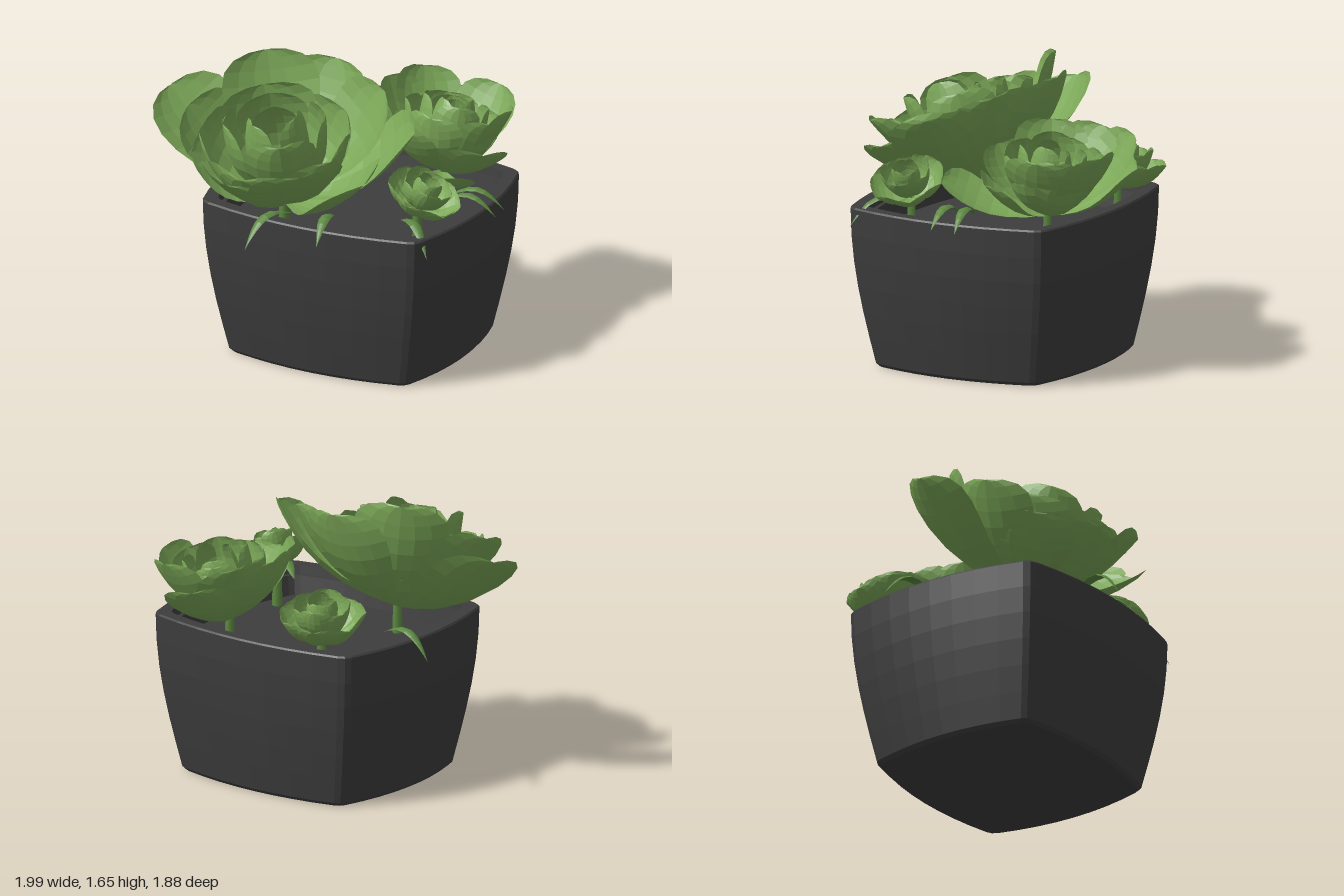
import * as THREE from 'three';
import { mergeGeometries } from 'three/addons/utils/BufferGeometryUtils.js';

function colour(name, hex, side = THREE.FrontSide) {
  const m = new THREE.MeshStandardMaterial({ color: hex, side });
  m.name = name;
  return m;
}
const potGrey = colour('potGrey', 0x3d3d3e);
const leafGreen = colour('leafGreen', 0x7ca858, THREE.DoubleSide);
const stemGreen = colour('stemGreen', 0x5c8840, THREE.DoubleSide);

const V = (x, y, z) => new THREE.Vector3(x, y, z);
const POT = V(0.135, 0, 0.015);

// Unshared vertices give the faceted look
function faceted(positions, index) {
  const indexed = new THREE.BufferGeometry();
  indexed.setAttribute('position', new THREE.Float32BufferAttribute(positions, 3));
  indexed.setIndex(index);
  const g = indexed.toNonIndexed();
  g.computeVertexNormals();
  return g;
}

function mesh(name, geometry, material) {
  const m = new THREE.Mesh(geometry, material);
  m.name = name;
  return m;
}

// Square pot with bowed sides and soft corners, as [height, scale] levels of one cross-section
function potGeometry() {
  const levels = [[0, 0.81]];
  for (let i = 0; i <= 6; i++) {
    const h = i / 6;
    levels.push([0.02 + 0.9 * h, 0.835 + 0.165 * Math.sin((h * Math.PI) / 2)]);
  }
  // Rim, inner step and floor
  levels.push([0.93, 0.99], [0.93, 0.9], [0.88, 0.89], [0.88, 0.86], [0.77, 0.83]);

  const loop = [];
  for (let side = 0; side < 4; side++) {
    const section = [];
    for (let i = 0; i <= 8; i++) {
      const s = (i / 4 - 1) * 0.92;
      section.push([1 - 0.135 * s * s, 0.88 * s]);
    }
    section.push([0.858, 0.858]);
    for (let [x, z] of section) {
      for (let k = 0; k < side; k++) [x, z] = [-z, x];
      loop.push([x, z]);
    }
  }
  const n = loop.length, pos = [], idx = [];
  for (const [y, k] of levels) {
    for (const [x, z] of loop) pos.push(POT.x + 0.785 * k * x, y, POT.z + 0.715 * k * z);
  }
  pos.push(POT.x, 0, POT.z, POT.x, 0.77, POT.z);
  const bottom = levels.length * n, last = bottom - n;
  for (let j = 0; j < n; j++) {
    const j2 = (j + 1) % n;
    for (let i = 0; i < last; i += n) {
      const a = i + j, b = i + j2;
      idx.push(a, a + n, b, b, a + n, b + n);
    }
    idx.push(bottom, j, j2, bottom + 1, last + j2, last + j);
  }
  return faceted(pos, idx);
}

// Leaf outlines along the length: broad rounded petal and slim pointed blade
const rounded = (t) => (Math.pow(t, 0.8) * Math.sqrt(Math.max(0, 1 - t ** 5))) / 0.7;
const pointed = (t) => Math.sin(Math.PI * Math.pow(t, 0.85));

// Leaf from base to tip, bellied away from the axis, with its edges curled towards it
function leaf(base, tip, width, axis, belly, curl, outline) {
  const d = tip.clone().sub(base), len = d.length();
  const side = d.clone().cross(axis).normalize();
  const up = side.clone().cross(d).normalize();
  const rows = 9, cols = 6, pos = [], idx = [];
  for (let i = 0; i <= rows; i++) {
    const t = Math.sin((i / rows) * Math.PI / 2);
    const half = (width / 2) * Math.max(outline(t), 0.06);
    for (let j = 0; j <= cols; j++) {
      const u = (j / cols) * 2 - 1;
      const p = base.clone().addScaledVector(d, t).addScaledVector(side, half * u)
        .addScaledVector(up, curl * half * u * u - belly * len * Math.sin(Math.PI * t));
      pos.push(p.x, p.y, p.z);
    }
  }
  for (let i = 0; i < rows; i++) {
    for (let j = 0; j < cols; j++) {
      const a = i * (cols + 1) + j, b = a + cols + 1;
      idx.push(a, a + 1, b, b, a + 1, b + 1);
    }
  }
  return faceted(pos, idx);
}

// Three rings of petals that grow smaller and steeper towards the heart
function innerPetals(base, axis, { count, radius, height, droop, width }) {
  const e1 = V(1, 0, 0).cross(axis).normalize(), e2 = axis.clone().cross(e1);
  const petals = [];
  for (let k = 0; k < 3; k++) {
    const n = count - k, r = radius * (1 - 0.34 * k);
    const rise = height * (1 - droop * (1 - k / 2) ** 2);
    for (let i = 0; i < n; i++) {
      const ang = ((i + 0.37 * k) / n) * Math.PI * 2;
      const tip = base.clone().addScaledVector(axis, rise * (1 + 0.07 * Math.sin(i * 2.3 + k)))
        .addScaledVector(e1, r * Math.cos(ang)).addScaledVector(e2, r * Math.sin(ang));
      petals.push(leaf(base, tip, width * (1 - 0.24 * k), axis, 0.17, 0.45, rounded));
    }
  }
  return mesh('innerPetals', mergeGeometries(petals), leafGreen);
}

// Rosette on a stem; large ones also have wide outer petals, given by their tips
function rosette(name, base, lean, inner, outerWidth, outerTips) {
  const group = new THREE.Group();
  group.name = name;
  const axis = lean.normalize();
  if (outerTips) {
    const petals = outerTips.map((tip) => leaf(base, V(...tip), outerWidth, axis, 0.12, 0.3, rounded));
    group.add(mesh('outerPetals', mergeGeometries(petals), leafGreen));
  }
  group.add(innerPetals(base, axis, inner));

  const h = base.y - 0.75;
  const stem = mesh('stem', new THREE.CylinderGeometry(0.025, 0.03, h, 6), stemGreen);
  stem.position.set(base.x, 0.76 + h / 2, base.z);
  group.add(stem);
  return group;
}

// Thin blade arching from inside the pot and drooping over the rim
function droopingLeaf(x, y, z) {
  const tip = V(x, y, z);
  const start = tip.clone().lerp(POT, 0.4).setY(0.93);
  return leaf(start, tip, 0.065, V(0, 1, 0), -0.28, -0.4, pointed);
}

export function createModel() {
  const model = new THREE.Group();
  model.name = 'pottedSucculents';
  model.add(mesh('pot', potGeometry(), potGrey));

  model.add(rosette('largeRosette', V(-0.18, 0.92, 0.34), V(0.05, 0.95, 0.3),
    { count: 5, radius: 0.44, height: 0.57, droop: 0.22, width: 0.56 }, 0.56, [
      [-0.99, 1.38, 0.18], [-0.73, 1.4, 0.45], [-0.6, 1.2, 0.66], [-0.25, 1.17, 0.9], [0.2, 1.28, 0.85],
      [0.48, 1.21, 0.62], [0.61, 1.42, 0.26], [0.28, 1.52, 0], [-0.12, 1.58, -0.18], [-0.46, 1.64, 0.02],
    ]));
  model.add(rosette('mediumRosette', V(0.42, 0.92, -0.42), V(0.13, 0.97, -0.17),
    { count: 5, radius: 0.29, height: 0.42, droop: 0.15, width: 0.36 }, 0.42, [
      [0.01, 1.37, -0.55], [0.1, 1.36, -0.8], [0.3, 1.22, -0.93], [0.56, 1.32, -0.84], [0.79, 1.3, -0.56],
      [0.79, 1.15, -0.22], [0.68, 1.11, 0.12], [0.34, 1.28, -0.06], [0.08, 1.39, -0.26],
    ]));
  model.add(rosette('backSmallRosette', V(-0.28, 0.95, -0.48), V(-0.1, 0.97, -0.12),
    { count: 7, radius: 0.25, height: 0.25, droop: 0.36, width: 0.26 }));
  model.add(rosette('frontSmallRosette', V(0.66, 1, 0.32), V(0.42, 0.9, 0),
    { count: 6, radius: 0.22, height: 0.2, droop: 0.45, width: 0.24 }));

  const drooping = [
    droopingLeaf(-0.8, 0.85, -0.18), droopingLeaf(-0.11, 0.82, 0.93), droopingLeaf(0.27, 0.86, 0.79),
    droopingLeaf(0.97, 0.89, -0.13), droopingLeaf(0.99, 0.9, 0.01), droopingLeaf(0.87, 0.83, 0.6),
  ];
  model.add(mesh('droopingLeaves', mergeGeometries(drooping), stemGreen));
  return model;
}
